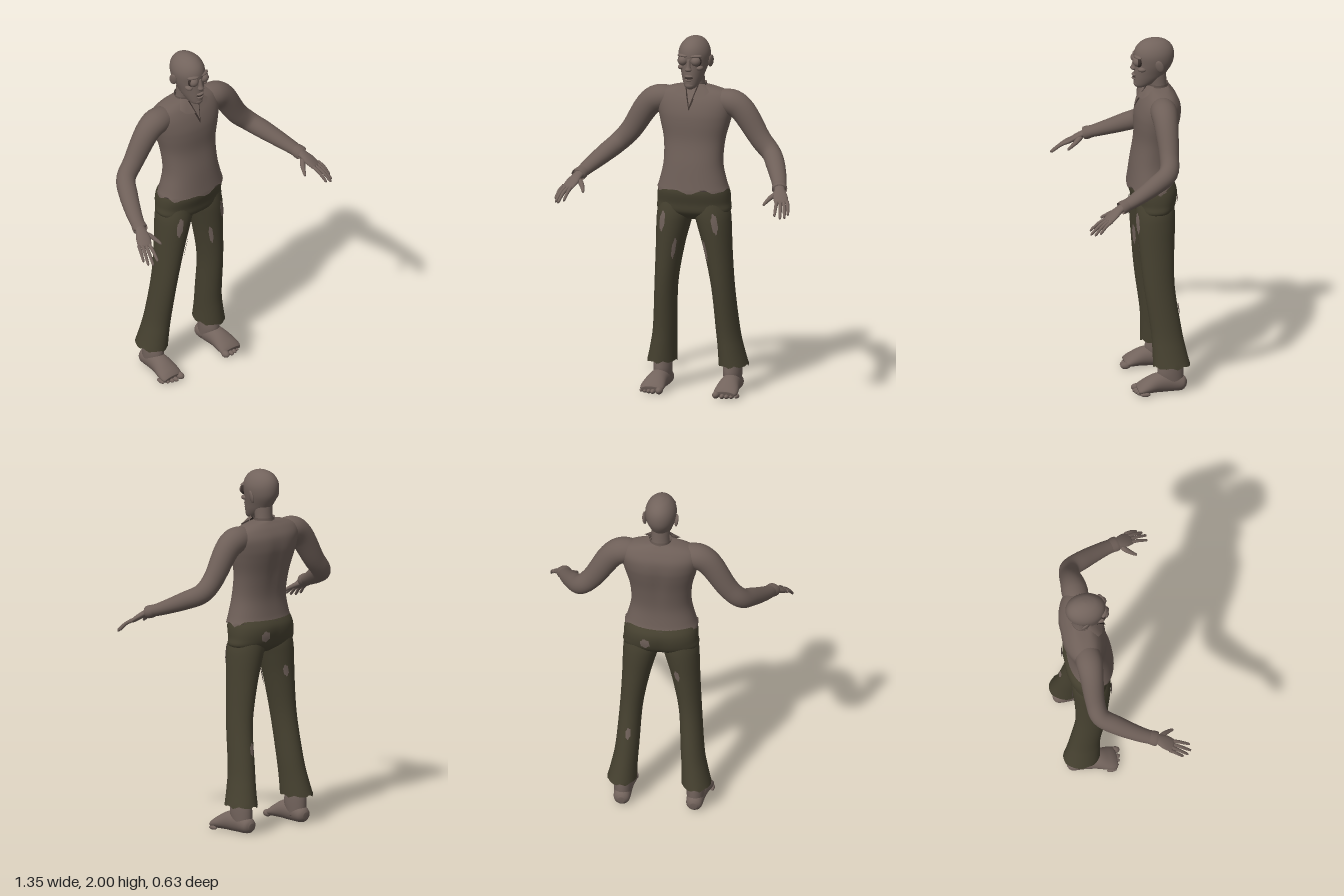
import * as THREE from 'three';

const mat = (name, color) => new THREE.MeshStandardMaterial({ name, color, side: THREE.DoubleSide });
const V3 = (x, y, z) => new THREE.Vector3(x, y, z);

// Smooth interpolation through cross-sections [x, y, z, radiusU, radiusV]
function sample(rings, t) {
  const last = rings.length - 1;
  const i = Math.min(Math.floor(t), last - 1), f = t - i;
  const [a, b, c, d] = [i - 1, i, i + 1, i + 2].map(k => rings[Math.max(0, Math.min(last, k))]);
  return b.map((_, k) => b[k] + 0.5 * f * (c[k] - a[k] + f * (2 * a[k] - 5 * b[k] + 4 * c[k] - d[k] + f * (3 * (b[k] - c[k]) + d[k] - a[k]))));
}

// Point on a section; flat sections lie level, others turn with the path
function surfacePoint(rings, t, a, { flat = true, power = 2, shape, grow = 0 } = {}) {
  const [x, y, z, ru, rv] = sample(rings, t);
  let U = V3(1, 0, 0), V = V3(0, 0, 1);
  if (!flat) {
    const end = rings.length - 1;
    const p = sample(rings, Math.max(0, t - 0.05)), q = sample(rings, Math.min(end, t + 0.05));
    const T = V3(q[0] - p[0], q[1] - p[1], q[2] - p[2]).normalize();
    U = V3(0, 1, 0).cross(T).normalize();
    V = U.clone().cross(T);
  }
  const bend = v => Math.sign(v) * Math.abs(v) ** (2 / power);
  const k = shape ? shape(a, y) : 1;
  return V3(x, y, z).addScaledVector(U, (ru + grow) * k * bend(Math.cos(a))).addScaledVector(V, (rv + grow) * k * bend(Math.sin(a)));
}

function geometry(points, index) {
  const g = new THREE.BufferGeometry().setFromPoints(points);
  g.setIndex(index);
  g.computeVertexNormals();
  return g;
}

// Skin a series of cross-sections; hem(a) makes the first edge ragged
function loft(rings, opts = {}) {
  const { sides = 32, steps = 5, caps = true, hem } = opts;
  const rows = (rings.length - 1) * steps, pts = [], idx = [];
  for (let j = 0; j <= rows; j++) for (let i = 0; i < sides; i++) {
    const a = i / sides * Math.PI * 2;
    const p = surfacePoint(rings, j / steps, a, opts);
    if (hem && j === 0) p.y += hem(a);
    pts.push(p);
  }
  for (let j = 0; j < rows; j++) for (let i = 0; i < sides; i++) {
    const a = j * sides + i, b = j * sides + (i + 1) % sides;
    idx.push(a, a + sides, b, b, a + sides, b + sides);
  }
  if (caps) for (const j of [0, rows]) {
    const [x, y, z] = sample(rings, j / steps), c = pts.push(V3(x, y, z)) - 1;
    for (let i = 0; i < sides; i++) {
      const a = j * sides + i, b = j * sides + (i + 1) % sides;
      idx.push(c, ...(j ? [b, a] : [a, b]));
    }
  }
  return geometry(pts, idx);
}

// Oval patch lying just above a level-section surface
function patch(rings, y, a, h, w, opts = {}) {
  const n = 16, pts = [], idx = [];
  const at = (yy, aa) => {
    let lo = 0, hi = rings.length - 1;
    for (let k = 0; k < 24; k++) { const m = (lo + hi) / 2; if (sample(rings, m)[1] < yy) lo = m; else hi = m; }
    return surfacePoint(rings, lo, aa, { grow: 0.007, ...opts });
  };
  pts.push(at(y, a));
  for (const r of [0.5, 1]) for (let i = 0; i < n; i++) {
    const f = i / n * Math.PI * 2, k = r * (1 + 0.12 * Math.sin(i * 2.3));
    pts.push(at(y + h * k * Math.sin(f), a + w * k * Math.cos(f)));
  }
  for (let i = 0; i < n; i++) {
    const p = 1 + i, q = 1 + (i + 1) % n;
    idx.push(0, p, q, p, p + n, q, q, p + n, q + n);
  }
  return geometry(pts, idx);
}

export function createModel() {
  const model = new THREE.Group();
  const skin = mat('skin', 0x72635c), shirt = mat('shirt', 0x6e5f58);
  const cloth = mat('trousers', 0x464130), dark = mat('darkOpening', 0x3a302c);
  const add = (name, g, m) => {
    const mesh = new THREE.Mesh(g, m);
    mesh.name = name;
    model.add(mesh);
    return mesh;
  };
  const ball = (name, m, p, s, rot = [0, 0, 0]) => {
    const b = add(name, new THREE.SphereGeometry(1, 20, 14), m);
    b.position.set(...p); b.scale.set(...s); b.rotation.set(...rot);
    return b;
  };
  const ragged = size => a => size * (Math.sin(a * 7) + 0.6 * Math.sin(a * 11 + 1));

  // Shirt body with a shallow spine groove
  const torso = [[0, 1.155, -0.127, 0.202, 0.128], [0, 1.2, -0.125, 0.187, 0.12], [0, 1.3, -0.128, 0.166, 0.11], [0, 1.42, -0.147, 0.171, 0.109],
    [0, 1.52, -0.16, 0.195, 0.12], [0, 1.58, -0.168, 0.21, 0.122], [0, 1.64, -0.175, 0.22, 0.11], [0, 1.685, -0.175, 0.2, 0.085], [0, 1.712, -0.174, 0.13, 0.062], [0, 1.725, -0.174, 0.055, 0.05]];
  const torsoOpts = { power: 2.25, sides: 56, shape: (a, y) => 1 - 0.06 * Math.exp(-(((a - 1.5 * Math.PI) / 0.16) ** 2)) * Math.exp(-(((y - 1.5) / 0.15) ** 2)) };
  add('shirtBody', loft(torso, { ...torsoOpts, caps: false, hem: ragged(0.01) }), shirt);

  // Collar band, flaps and open neckline
  add('collarBand', loft([[0, 1.695, -0.175, 0.075, 0.06], [0, 1.72, -0.172, 0.06, 0.055], [0, 1.74, -0.17, 0.062, 0.057]], { caps: false }), shirt);
  add('neckOpening', geometry([V3(-0.042, 1.73, -0.1), V3(0, 1.6, -0.036), V3(0.042, 1.73, -0.1)], [0, 1, 2]), dark);
  add('openChest', geometry([V3(-0.032, 1.735, -0.096), V3(0, 1.625, -0.042), V3(0.032, 1.735, -0.096)], [0, 1, 2]), skin);
  for (const s of [1, -1]) {
    const c = [[0.04, 1.74, -0.105], [0.018, 1.665, -0.055], [0.075, 1.675, -0.07], [0.1, 1.7, -0.095], [0.06, 1.735, -0.14]].map(p => V3(p[0] * s, p[1], p[2]));
    add('collarFlap', geometry(c, s > 0 ? [0, 1, 2, 0, 2, 3, 0, 3, 4] : [0, 2, 1, 0, 3, 2, 0, 4, 3]), shirt);
  }

  // Head and neck
  add('neck', loft([[0, 1.66, -0.178, 0.06, 0.052], [0, 1.73, -0.17, 0.05, 0.048], [0, 1.83, -0.155, 0.052, 0.06]]), skin);
  add('head', loft([[0, 1.718, -0.07, 0.012, 0.015], [0, 1.732, -0.082, 0.034, 0.043], [0, 1.77, -0.112, 0.053, 0.076], [0, 1.81, -0.13, 0.066, 0.093], [0, 1.86, -0.146, 0.081, 0.106],
    [0, 1.91, -0.148, 0.086, 0.111], [0, 1.95, -0.149, 0.075, 0.1], [0, 1.98, -0.15, 0.052, 0.072], [0, 1.995, -0.15, 0.025, 0.036], [0, 2, -0.15, 0.004, 0.004]], { sides: 40 }), skin);
  add('nose', loft([[0, 1.822, -0.036, 0.012, 0.006], [0, 1.832, -0.034, 0.019, 0.018], [0, 1.85, -0.038, 0.012, 0.015], [0, 1.89, -0.045, 0.009, 0.012]], { sides: 16 }), skin);
  ball('mouth', dark, [0, 1.785, -0.041], [0.024, 0.007, 0.012]);
  ball('upperLip', skin, [0, 1.795, -0.038], [0.024, 0.007, 0.014]);
  ball('lowerLip', skin, [0, 1.774, -0.039], [0.021, 0.007, 0.014]);
  ball('chin', skin, [0, 1.742, -0.055], [0.026, 0.02, 0.02]);
  for (const s of [1, -1]) {
    ball('eyeSocket', dark, [0.037 * s, 1.879, -0.058], [0.032, 0.03, 0.018]);
    ball('eye', skin, [0.037 * s, 1.879, -0.054], [0.028, 0.027, 0.029]);
    ball('brow', skin, [0.038 * s, 1.907, -0.053], [0.034, 0.009, 0.016], [0, 0.35 * s, 0]);
    ball('cheekbone', skin, [0.052 * s, 1.838, -0.075], [0.02, 0.014, 0.025]);
    ball('ear', skin, [0.088 * s, 1.862, -0.165], [0.009, 0.036, 0.023], [0.2, -0.35 * s, -0.12 * s]);
  }

  // Sleeved arms, hands and fingers
  for (const s of [1, -1]) {
    const side = s > 0 ? 'left' : 'right';
    const tube = (name, pts, m, o = {}) => add(side + name, loft(pts.map(([x, ...r]) => [x * s, ...r]), { flat: false, sides: 24, ...o }), m);
    tube('Arm', [[0.11, 1.635, -0.172, 0.06, 0.055], [0.2, 1.638, -0.168, 0.073, 0.072], [0.275, 1.59, -0.168, 0.066, 0.07], [0.37, 1.445, -0.168, 0.054, 0.06], [0.44, 1.37, -0.15, 0.053, 0.055],
      [0.49, 1.325, -0.07, 0.052, 0.05], [0.545, 1.273, 0.045, 0.043, 0.038], [0.575, 1.243, 0.125, 0.036, 0.03]], shirt);
    tube('Cuff', [[0.562, 1.256, 0.09, 0.037, 0.032], [0.574, 1.244, 0.122, 0.042, 0.036], [0.579, 1.239, 0.138, 0.041, 0.034]], shirt, { caps: false });
    tube('Palm', [[0.57, 1.246, 0.11, 0.028, 0.022], [0.582, 1.235, 0.145, 0.03, 0.018], [0.597, 1.212, 0.18, 0.04, 0.017], [0.612, 1.188, 0.212, 0.038, 0.013], [0.616, 1.182, 0.222, 0.03, 0.008]], skin);
    const fingers = [[0.642, 1.19, 0.197, 0.666, 1.135, 0.262], [0.626, 1.188, 0.211, 0.655, 1.123, 0.29], [0.607, 1.188, 0.216, 0.636, 1.123, 0.309], [0.588, 1.192, 0.214, 0.604, 1.135, 0.308]];
    fingers.forEach(([x, y, z, u, v, w], i) => tube('Finger' + (i + 1),
      [[x, y, z, 0.01, 0.01], [x * 0.45 + u * 0.55, (y + v) / 2 + 0.008, (z + w) / 2, 0.0095, 0.009], [u, v, w, 0.007, 0.007], [u, v - 0.002, w + 0.004, 0.002, 0.002]], skin, { sides: 10 }));
    tube('Thumb', [[0.577, 1.225, 0.15, 0.014, 0.013], [0.548, 1.207, 0.18, 0.015, 0.013], [0.529, 1.187, 0.212, 0.011, 0.01], [0.519, 1.172, 0.235, 0.007, 0.007], [0.518, 1.17, 0.239, 0.002, 0.002]], skin, { sides: 12 });
  }

  // Trouser seat and waist
  const seat = [[0, 0.985, -0.137, 0.06, 0.05], [0, 1.025, -0.139, 0.197, 0.103], [0, 1.08, -0.144, 0.205, 0.121], [0, 1.14, -0.137, 0.201, 0.129], [0, 1.19, -0.127, 0.185, 0.113]];
  const seatOpts = { power: 2.3, sides: 48, shape: (a, y) => 1 - 0.08 * Math.exp(-(((a - 1.5 * Math.PI) / 0.14) ** 2)) * Math.exp(-(((y - 1.04) / 0.07) ** 2)) };
  add('trouserSeat', loft(seat, seatOpts), cloth);
  add('seatTear', patch(seat, 1.09, 1.5 * Math.PI + 0.3, 0.03, 0.13, { power: 2.3 }), skin);

  for (const s of [1, -1]) {
    const side = s > 0 ? 'left' : 'right', turn = a => (s > 0 ? a : Math.PI - a);
    // Flared trouser leg with worn holes
    const leg = [[0.205, 0.158, -0.21, 0.081, 0.102], [0.193, 0.25, -0.198, 0.071, 0.092], [0.18, 0.36, -0.184, 0.065, 0.085], [0.163, 0.6, -0.15, 0.063, 0.085],
      [0.138, 0.81, -0.14, 0.077, 0.096], [0.117, 0.95, -0.138, 0.094, 0.106], [0.105, 1.02, -0.138, 0.101, 0.107], [0.1, 1.08, -0.138, 0.09, 0.1]].map(([x, ...r]) => [x * s, ...r]);
    add(side + 'TrouserLeg', loft(leg, { caps: false, hem: ragged(0.005) }), cloth);
    add(side + 'ThighTear', patch(leg, 0.975, turn(1.2), 0.058, 0.17), skin);
    add(side + 'InnerTear', patch(leg, 0.82, turn(2.15), 0.06, 0.13), skin);
    if (s > 0) add('leftCalfTear', patch(leg, 0.47, turn(-1.65), 0.035, 0.2), skin);
    else add('rightThighBackTear', patch(leg, 0.87, turn(-1.9), 0.033, 0.17), skin);

    // Bare ankle, foot and toes
    add(side + 'Ankle', loft([[0.2, 0.04, -0.215, 0.045, 0.06], [0.2, 0.1, -0.205, 0.05, 0.072], [0.2, 0.16, -0.205, 0.05, 0.068], [0.2, 0.26, -0.2, 0.045, 0.055]].map(([x, ...r]) => [x * s, ...r])), skin);
    const foot = loft([[0.2, 0.045, -0.292, 0.018, 0.02], [0.2, 0.048, -0.27, 0.043, 0.042], [0.202, 0.058, -0.2, 0.049, 0.056], [0.206, 0.058, -0.13, 0.056, 0.054],
      [0.21, 0.043, -0.07, 0.066, 0.039], [0.211, 0.031, -0.035, 0.066, 0.027], [0.211, 0.026, -0.02, 0.056, 0.018]].map(([x, ...r]) => [x * s, ...r]), { flat: false });
    const p = foot.attributes.position;
    for (let i = 0; i < p.count; i++) p.setY(i, Math.max(0.008, p.getY(i)));
    foot.computeVertexNormals();
    add(side + 'Foot', foot, skin);
    for (let i = 0; i < 5; i++) {
      const r = i ? 0.0145 - i * 0.0008 : 0.02;
      ball(side + 'Toe' + (i + 1), skin, [s * (i ? 0.174 + i * 0.0245 : 0.163), r + 0.003, -0.019 - i * i * 0.0022], [r, r, 0.028]);
    }
  }
  return model;
}
